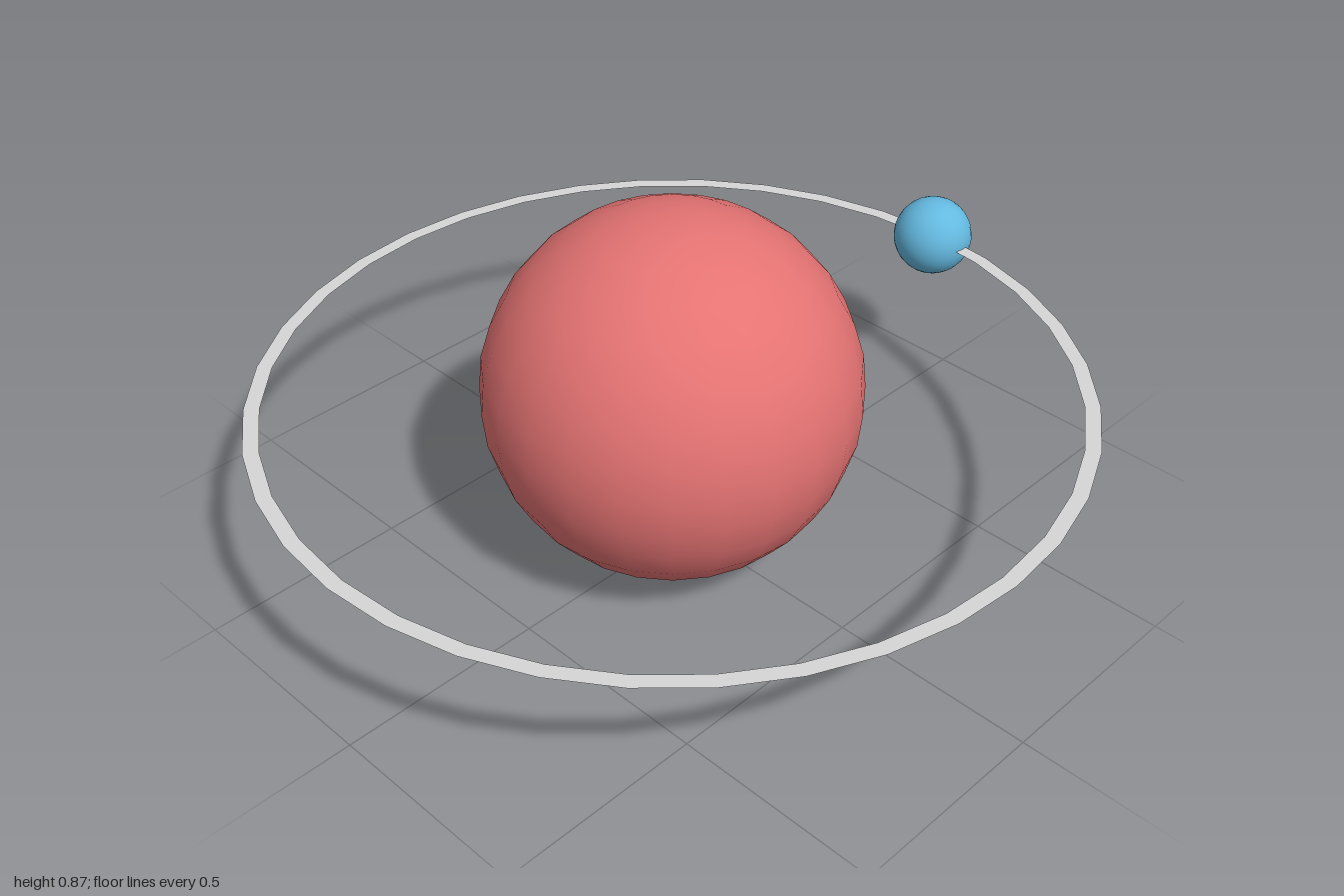
import * as THREE from 'three';

export function createModel() {
  const model = new THREE.Group();
  const centreX = -0.04, centreY = 0.437, orbitRadius = 0.941;

  const material = (name, color, options = {}) =>
    new THREE.MeshStandardMaterial({ name, color, ...options });
  const red = material('planet red', 0xe57373);
  const blue = material('moon blue', 0x64b9e0);
  const grey = material('orbit grey', 0xd6d6d6, { side: THREE.DoubleSide });

  const add = (name, geometry, mat, x) => {
    const mesh = new THREE.Mesh(geometry, mat);
    mesh.name = name;
    mesh.position.set(x, centreY, 0);
    model.add(mesh);
  };

  // Large central ball
  add('planet', new THREE.SphereGeometry(0.437, 24, 16), red, centreX);

  // Small ball riding on the orbit
  add('moon', new THREE.SphereGeometry(0.099, 24, 16), blue, centreX + orbitRadius);

  // Flat, paper-thin ring marking the path
  const ring = new THREE.RingGeometry(orbitRadius - 0.018, orbitRadius + 0.018, 36);
  ring.rotateX(-Math.PI / 2);
  add('orbitRing', ring, grey, centreX);

  return model;
}
